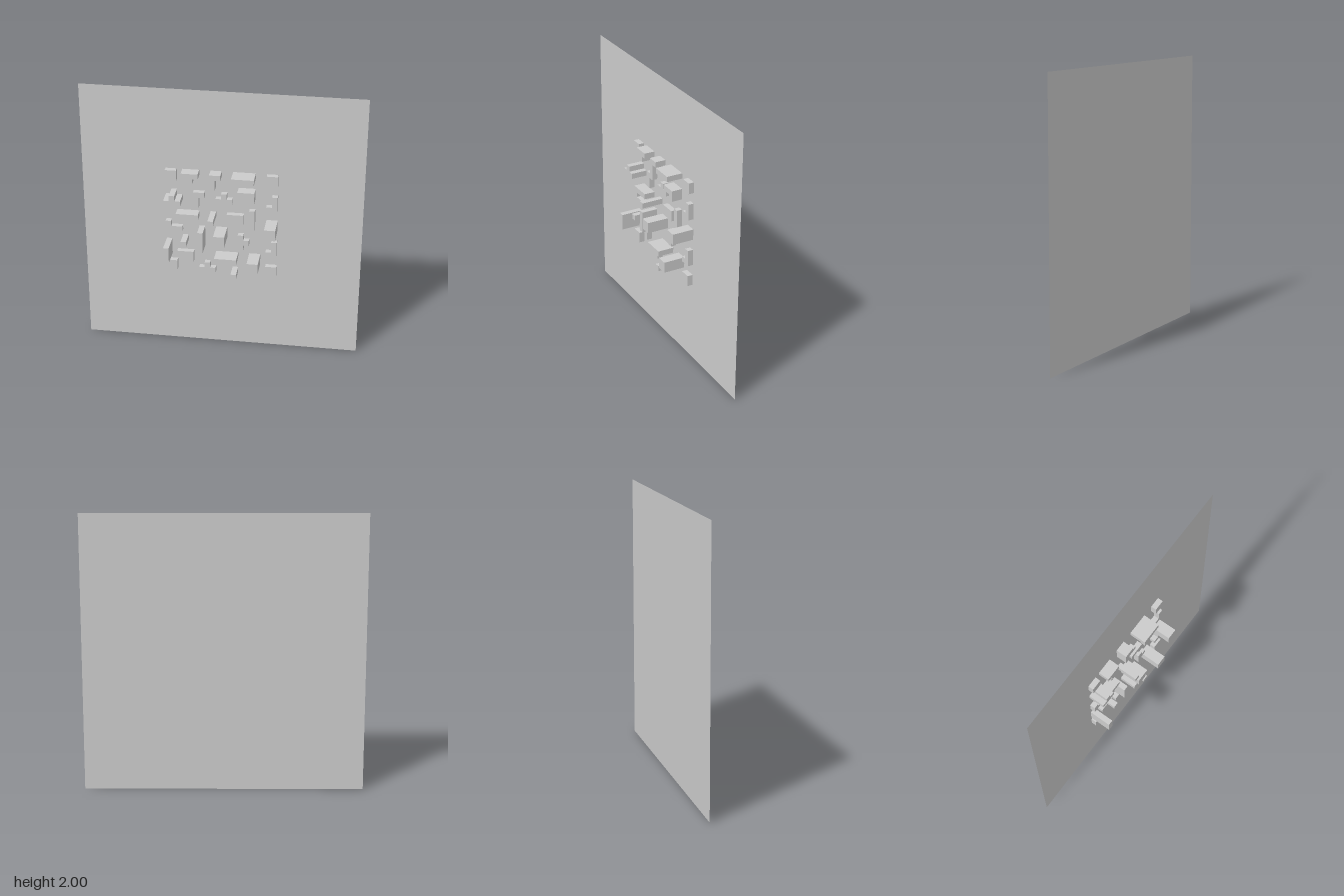
import * as THREE from 'three';

const CELL = 0.04; // grid unit, also one step of block height
const BACK = -0.08; // z of the panel

// Block outlines in cells: x to the right, y downwards from the top left corner
const rect = (w, h) => [[0, 0], [w, 0], [w, h], [0, h]];
const outlines = {
  cube: rect(1, 1),
  square: rect(2, 2),
  longBar: rect(4, 1),
  tallBar: rect(1, 4),
  shortBar: rect(1, 3),
  teeDown: [[0, 0], [3, 0], [3, 1], [2, 1], [2, 2], [1, 2], [1, 1], [0, 1]],
  teeUp: [[1, 0], [2, 0], [2, 1], [3, 1], [3, 2], [0, 2], [0, 1], [1, 1]],
  teeRight: [[0, 0], [1, 0], [1, 1], [2, 1], [2, 2], [1, 2], [1, 3], [0, 3]],
  tallHook: [[0, 0], [2, 0], [2, 1], [1, 1], [1, 3], [0, 3]],
  wideHook: [[0, 0], [3, 0], [3, 2], [2, 2], [2, 1], [0, 1]],
  footLeft: [[1, 0], [2, 0], [2, 3], [0, 3], [0, 2], [1, 2]],
  footRight: [[0, 0], [1, 0], [1, 1], [3, 1], [3, 2], [0, 2]],
};

// Placements per outline: [column, row, height in steps]
const placements = {
  cube: [[8, 8, 4], [3, 13, 3], [12, 19, 3]],
  square: [[0, 0, 1], [18, 0, 1], [0, 18, 1], [18, 18, 1], [18, 9, 4], [9, 11, 4], [15, 16, 4]],
  longBar: [[12, 0, 3], [2, 8, 2], [9, 16, 3]],
  tallBar: [[15, 7, 1], [6, 11, 3]],
  shortBar: [[0, 14, 4]],
  teeDown: [[3, 0, 2]],
  teeUp: [[0, 4, 3], [9, 4, 1], [6, 18, 1]],
  teeRight: [[13, 12, 1]],
  tallHook: [[8, 0, 2], [5, 4, 1]],
  wideHook: [[13, 3, 2], [11, 8, 1], [2, 16, 1]],
  footLeft: [[18, 4, 1], [18, 13, 1]],
  footRight: [[0, 10, 1]],
};

export function createModel() {
  const model = new THREE.Group();
  model.name = 'reliefPanel';

  // Thin square backing panel
  const panel = new THREE.Mesh(
    new THREE.PlaneGeometry(2, 2),
    new THREE.MeshStandardMaterial({ color: 0xcccccc, side: THREE.DoubleSide }),
  );
  panel.name = 'backPanel';
  panel.position.set(0, 1, BACK);
  model.add(panel);

  // Raised blocks, grouped by outline
  const material = new THREE.MeshStandardMaterial({ color: 0xcccccc, flatShading: true });
  for (const [kind, spots] of Object.entries(placements)) {
    const group = new THREE.Group();
    group.name = `${kind}Blocks`;
    const shape = new THREE.Shape(
      outlines[kind].map(([x, y]) => new THREE.Vector2(x * CELL, -y * CELL)),
    );
    for (const [column, row, steps] of spots) {
      const geometry = new THREE.ExtrudeGeometry(shape, { depth: steps * CELL, bevelEnabled: false });
      const block = new THREE.Mesh(geometry, material);
      block.name = `${kind}Block`;
      block.position.set(-0.4 + column * CELL, 1.4 - row * CELL, BACK);
      group.add(block);
    }
    model.add(group);
  }
  return model;
}
